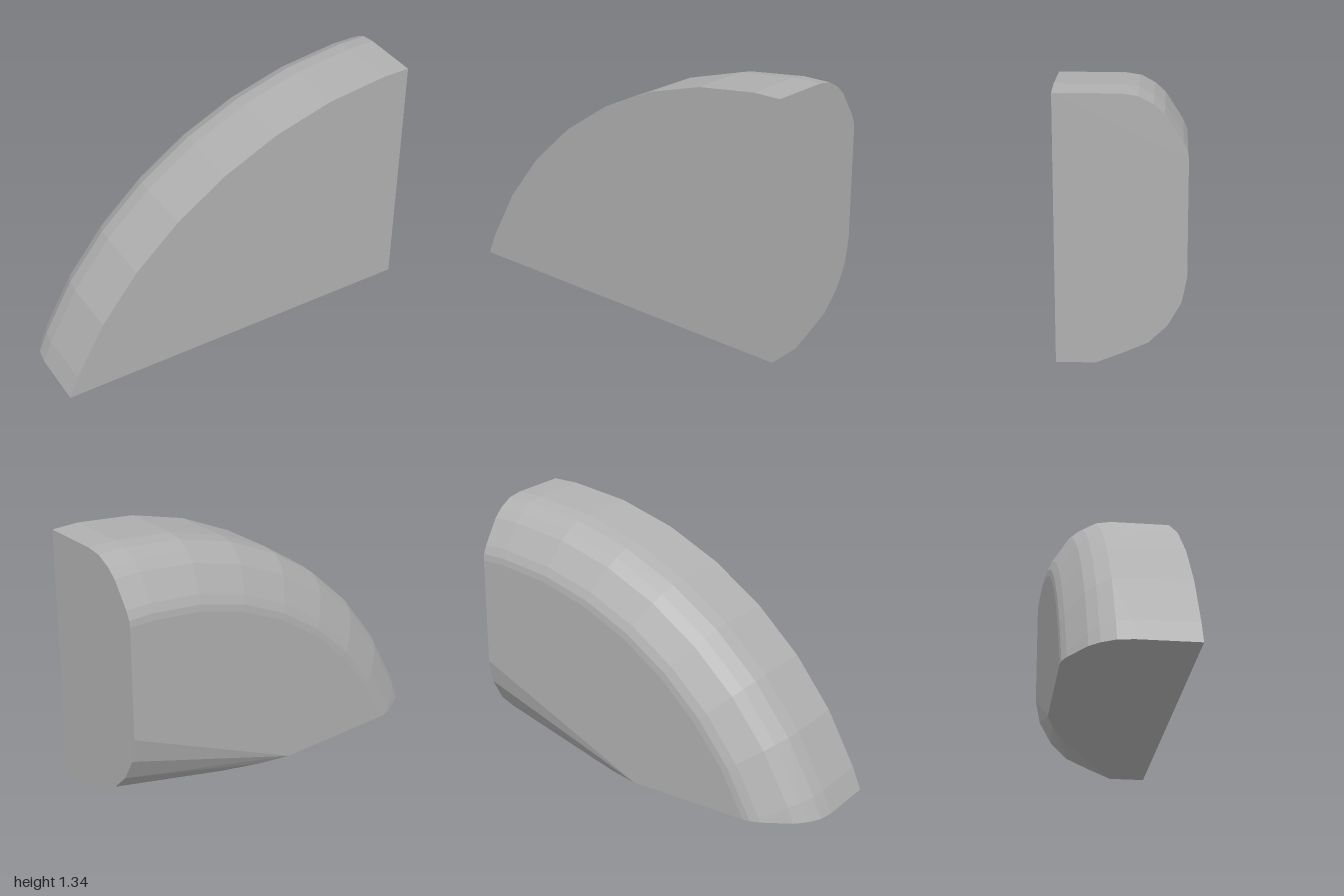
import * as THREE from 'three';
import { ConvexGeometry } from 'three/addons/geometries/ConvexGeometry.js';

const R = 2.085, CX = 0.95, CY = -0.74; // arc of the curved edge
const DEG = Math.PI / 180;

// One slice of the wedge at depth z, its arc pulled in by inset
function arcSlice(z, inset) {
  const r = R - inset;
  const points = [new THREE.Vector3(CX - Math.sqrt(r * r - CY * CY), 0, z)];
  for (let i = 0; i < 8; i++) {
    const a = (24.3 + 9 * i) * DEG;
    const y = CY + r * Math.sin(a);
    if (y > 0.02) points.push(new THREE.Vector3(CX - r * Math.cos(a), y, z));
  }
  points.push(new THREE.Vector3(1, CY + r * Math.sin(87.3 * DEG), z));
  return points;
}

export function createModel() {
  const grey = new THREE.MeshStandardMaterial({ color: 0xb0b0b0 });
  grey.name = 'grey';

  // Flat front, then the rounded rear edge: [z, inset]
  const rounding = [[0.31, 0], [0, 0], [-0.08, 0.012], [-0.15, 0.05], [-0.2, 0.095],
    [-0.285, 0.225], [-0.305, 0.27], [-0.31, 0.305]];
  const points = rounding.flatMap(([z, inset]) => arcSlice(z, inset));

  // Tapered undercut: rounded on the end face, running out along the base
  const endCurve = [[0, 0.31], [0, 0.12], [0.05, 0], [0.11, -0.13], [0.2, -0.22],
    [0.32, -0.285], [0.45, -0.31]];
  for (const [y, z] of endCurve) points.push(new THREE.Vector3(1, y, z));
  const baseCurve = [[0.376, -0.205], [0.18, -0.272], [0.014, -0.31]];
  for (const [x, z] of baseCurve) points.push(new THREE.Vector3(x, 0, z));

  const body = new THREE.Mesh(new ConvexGeometry(points), grey);
  body.name = 'curvedWedge';

  const model = new THREE.Group();
  model.name = 'roundedWedge';
  model.add(body);
  return model;
}
